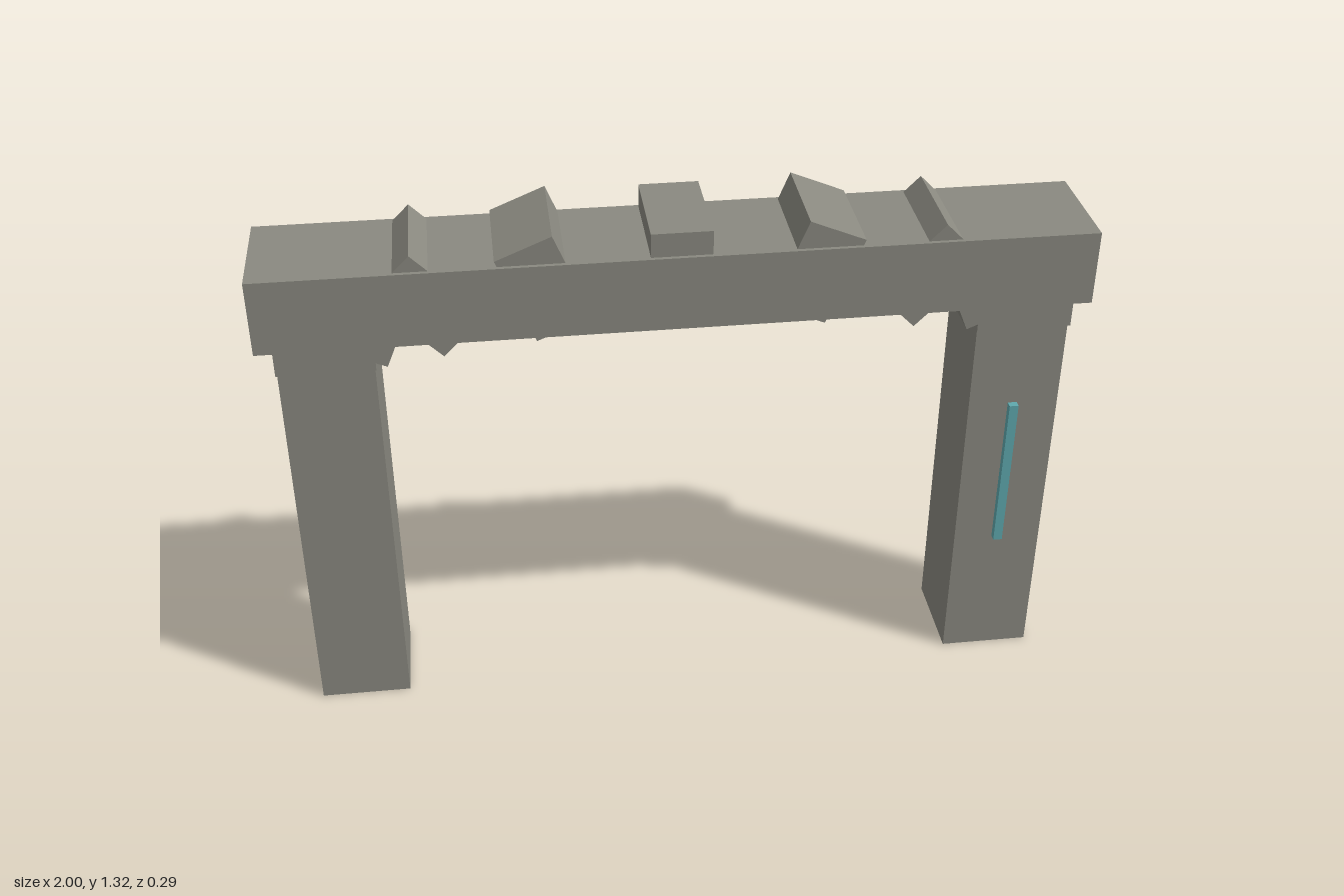
import * as THREE from 'three';

export function createModel() {
  const group = new THREE.Group();
  group.name = 'stoneGateway';
  const stone = new THREE.MeshStandardMaterial({ color: 0x8a8980, flatShading: true });
  stone.name = 'stone';
  const glow = new THREE.MeshStandardMaterial({ color: 0x5fa9ae, flatShading: true });
  glow.name = 'teal inlay';

  const box = (name, [w, h, d], [x, y, z], material = stone) => {
    const mesh = new THREE.Mesh(new THREE.BoxGeometry(w, h, d), material);
    mesh.name = name;
    mesh.position.set(x, y, z);
    group.add(mesh);
    return mesh;
  };

  // Pillars
  box('leftPillar', [0.228, 1, 0.244], [0.841, 0.5, 0]);
  box('rightPillar', [0.228, 1, 0.244], [-0.841, 0.5, 0]);

  // Lintel
  box('lintel', [2, 0.188, 0.286], [0, 1.161, 0]);

  // Flattened arch of nine wedge stones, each turned to its arch angle
  for (let i = 0; i <= 8; i++) {
    const a = (i * Math.PI) / 8;
    const block = box('archStone' + (i + 1), [0.146, 0.234, 0.266],
      [0.841 * Math.cos(a), 1.073 + 0.125 * Math.sin(a), 0]);
    block.rotation.z = a - Math.PI / 2;
  }

  // Inlaid strip on the front of the left pillar
  box('inlayStrip', [0.023, 0.418, 0.02], [0.839, 0.571, 0.13], glow);

  return group;
}
